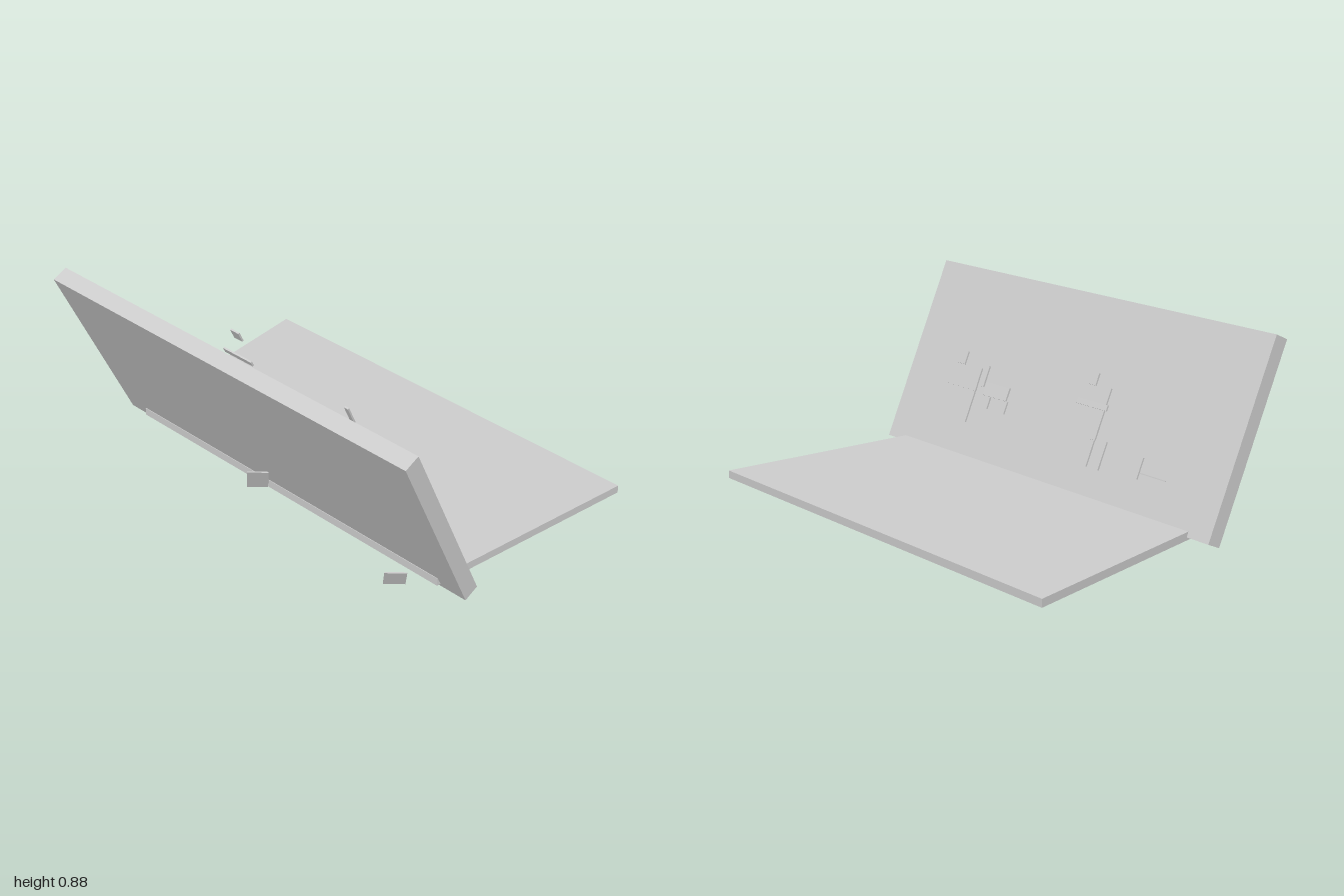
import * as THREE from 'three';

export function createModel() {
  const model = new THREE.Group();
  model.name = 'foldedStage';
  const grey = new THREE.MeshStandardMaterial({ color: 0xcccccc });
  grey.name = 'plain grey';

  // Board leaning from its top edge (xt, yt) to its bottom edge (xb, yb), spanning z0..z1
  function board(parent, name, [xt, yt], [xb, yb], z0, z1, thick = 0.008) {
    const length = Math.hypot(xt - xb, yt - yb);
    const mesh = new THREE.Mesh(new THREE.BoxGeometry(thick, length, z1 - z0), grey);
    mesh.name = name;
    mesh.position.set((xt + xb) / 2, (yt + yb) / 2, (z0 + z1) / 2);
    mesh.rotation.z = Math.atan2(xb - xt, yt - yb);
    parent.add(mesh);
  }
  function group(name) {
    const g = new THREE.Group();
    g.name = name;
    model.add(g);
    return g;
  }

  // Leaning back panel
  board(model, 'backPanel', [-0.6375, 0.86], [-0.27, 0.067], -1, 1, 0.073);

  // Tapered floor slab
  const outline = new THREE.Shape([
    new THREE.Vector2(-0.33, -0.875), new THREE.Vector2(0.67, -1),
    new THREE.Vector2(0.67, 1), new THREE.Vector2(-0.33, 0.875),
  ]);
  const floorGeo = new THREE.ExtrudeGeometry(outline, { depth: 0.035, bevelEnabled: false });
  floorGeo.rotateX(-Math.PI / 2);
  const floor = new THREE.Mesh(floorGeo, grey);
  floor.name = 'floorSlab';
  floor.position.y = 0.069;
  model.add(floor);

  // First standing figure
  const first = group('firstFigure');
  board(first, 'head', [-0.285, 0.58], [-0.26, 0.527], 0.475, 0.53);
  board(first, 'body', [-0.365, 0.488], [-0.26, 0.257], 0.475, 0.53);
  board(first, 'arms', [-0.271, 0.441], [-0.26, 0.417], 0.405, 0.602);

  // Small four-legged animal
  const animal = group('animal');
  board(animal, 'head', [-0.214, 0.568], [-0.175, 0.482], 0.256, 0.278);
  board(animal, 'body', [-0.201, 0.5], [-0.175, 0.446], 0.113, 0.262);
  for (const z of [0.126, 0.236])
    board(animal, 'leg', [-0.198, 0.435], [-0.175, 0.386], z, z + 0.014);

  // Second standing figure
  const second = group('secondFigure');
  board(second, 'head', [-0.225, 0.664], [-0.203, 0.617], -0.4, -0.35);
  board(second, 'body', [-0.297, 0.586], [-0.203, 0.382], -0.4, -0.35);
  board(second, 'arms', [-0.214, 0.544], [-0.203, 0.521], -0.462, -0.29);
  for (const z of [-0.42, -0.35])
    board(second, 'leg', [-0.255, 0.368], [-0.203, 0.257], z, z + 0.02);

  // Small post with a thin strip beside it
  board(model, 'post', [-0.328, 0.318], [-0.289, 0.232], -0.56, -0.54);
  board(model, 'strip', [-0.31, 0.257], [-0.309, 0.253], -0.7, -0.56, 0.004);

  // Slanted chips behind the panel, sheared by moving box vertices
  function chip(name, x, y, z, height) {
    const geo = new THREE.BoxGeometry(0.09, height, 0.008);
    geo.rotateY(-0.82);
    const p = geo.attributes.position;
    for (let i = 0; i < p.count; i++) {
      const h = p.getY(i);
      p.setX(i, p.getX(i) - h * 0.3);
      p.setZ(i, p.getZ(i) + h * 0.36);
    }
    geo.computeVertexNormals();
    const mesh = new THREE.Mesh(geo, grey);
    mesh.name = name;
    mesh.position.set(x, y, z);
    model.add(mesh);
  }
  chip('lowerChip', -0.385, 0.0425, 0.703, 0.085);
  chip('upperChip', -0.375, 0.12, -0.096, 0.11);

  return model;
}
